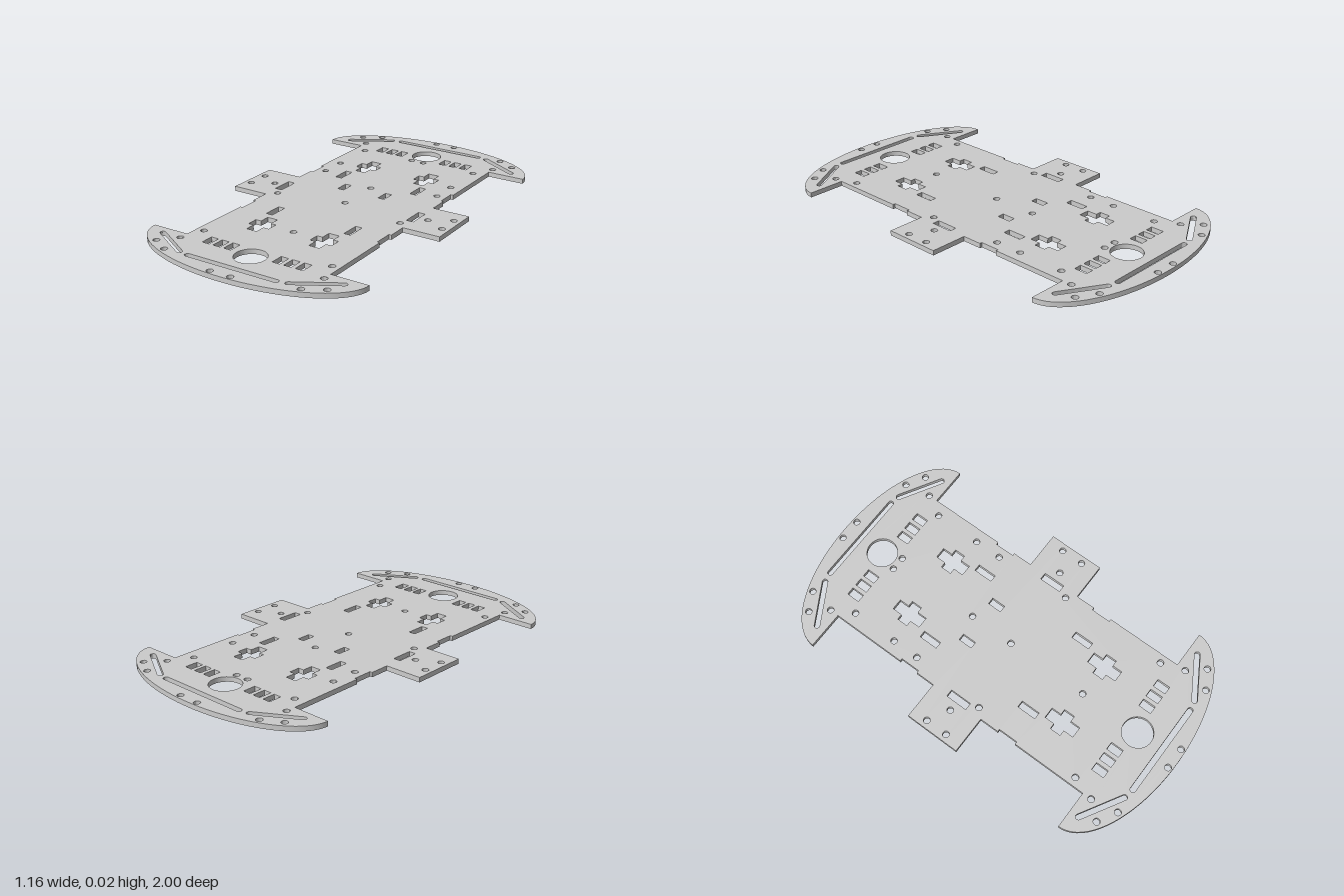
import * as THREE from 'three';
import { toCreasedNormals } from 'three/addons/utils/BufferGeometryUtils.js';

const THICKNESS = 0.024;
const END_X = 0.58, END_Z = 0.73, BODY_X = 0.389;

// The plate is drawn in plan: shape x = model x, shape y = model z.
function plateOutline() {
  // one long side of the body, from the -z end to the +z end
  const side = [
    [BODY_X, -END_Z],
    [BODY_X, -0.342], [0.376, -0.342], [0.376, -0.242], [BODY_X, -0.242],
    [BODY_X, -0.142], [END_X, -0.142], [END_X, 0.142], [BODY_X, 0.142],
    [BODY_X, 0.242], [0.376, 0.242], [0.376, 0.342], [BODY_X, 0.342],
    [BODY_X, END_Z],
  ];
  const shape = new THREE.Shape();
  shape.moveTo(END_X, END_Z);
  shape.absellipse(0, END_Z, END_X, 1 - END_Z, 0, Math.PI, false, 0);
  [...side].reverse().forEach(([x, z]) => shape.lineTo(-x, z));
  shape.lineTo(-END_X, -END_Z);
  shape.absellipse(0, -END_Z, END_X, 1 - END_Z, Math.PI, 2 * Math.PI, false, 0);
  side.forEach(([x, z]) => shape.lineTo(x, z));
  shape.closePath();
  return shape;
}

function roundHole(x, z, r = 0.016) {
  return new THREE.Path().absarc(x, z, r, 0, 2 * Math.PI, false);
}

function polygonHole(points) {
  return new THREE.Path(points.map(([x, z]) => new THREE.Vector2(x, z))).closePath();
}

function rectHole(x, z, w, h) {
  const a = w / 2, b = h / 2;
  return polygonHole([[x - a, z - b], [x + a, z - b], [x + a, z + b], [x - a, z + b]]);
}

function crossHole(x, z) {
  const a = 0.0575, b = 0.08, c = 0.028;
  return polygonHole([
    [-c, -b], [c, -b], [c, -c], [a, -c], [a, c], [c, c],
    [c, b], [-c, b], [-c, c], [-a, c], [-a, -c], [-c, -c],
  ].map(([dx, dz]) => [x + dx, z + dz]));
}

// slot with round ends between two points
function slotHole(x1, z1, x2, z2, r = 0.0135) {
  const t = Math.atan2(z2 - z1, x2 - x1), q = Math.PI / 2;
  const path = new THREE.Path();
  path.absarc(x1, z1, r, t + q, t + 3 * q, false);
  path.absarc(x2, z2, r, t - q, t + q, false);
  return path.closePath();
}

export function createModel() {
  const group = new THREE.Group();
  group.name = 'chassisPlate';

  const shape = plateOutline();
  const holes = shape.holes;

  // cut-outs repeated at both ends
  for (const e of [-1, 1]) {
    holes.push(roundHole(0, e * 0.768, 0.076));
    holes.push(slotHole(-0.237, e * 0.905, 0.237, e * 0.905));
    for (const s of [-1, 1]) {
      holes.push(slotHole(s * 0.49, e * 0.778, s * 0.29, e * 0.895));
      for (const x of [0.132, 0.192, 0.253]) holes.push(rectHole(s * x, e * 0.731, 0.04, 0.066));
      holes.push(crossHole(s * 0.172, e * 0.458));
      holes.push(rectHole(s * 0.218, e * 0.294, 0.035, 0.098));
      for (const [x, z] of [[0.054, 0.976], [0.365, 0.91], [0.458, 0.857], [0.388, 0.777]])
        holes.push(roundHole(s * x, e * z));
    }
  }

  // cut-outs mirrored left and right only
  const sideHoles = [
    [0.328, -0.67], [0.035, -0.67], [0.328, -0.43], [0.328, -0.29],
    [0.545, -0.058], [0.545, 0.056], [0.44, 0], [0.349, 0.1], [0.349, 0.66],
  ];
  for (const s of [-1, 1]) {
    for (const [x, z] of sideHoles) holes.push(roundHole(s * x, z));
    holes.push(rectHole(s * 0.117, -0.147, 0.035, 0.072));
    holes.push(rectHole(s * 0.376, 0, 0.037, 0.112));
  }

  // holes on the centre line
  for (const z of [-0.205, 0.028, 0.452]) holes.push(roundHole(0, z));

  // extrude, then lay the plate flat on the ground
  const flat = new THREE.ExtrudeGeometry(shape, {
    depth: THICKNESS, bevelEnabled: false, curveSegments: 20,
  });
  flat.rotateX(Math.PI / 2).translate(0, THICKNESS, 0);

  const plate = new THREE.Mesh(
    toCreasedNormals(flat, 0.5),
    new THREE.MeshStandardMaterial({ color: 0xcccccc }),
  );
  plate.name = 'plate';
  group.add(plate);
  return group;
}
